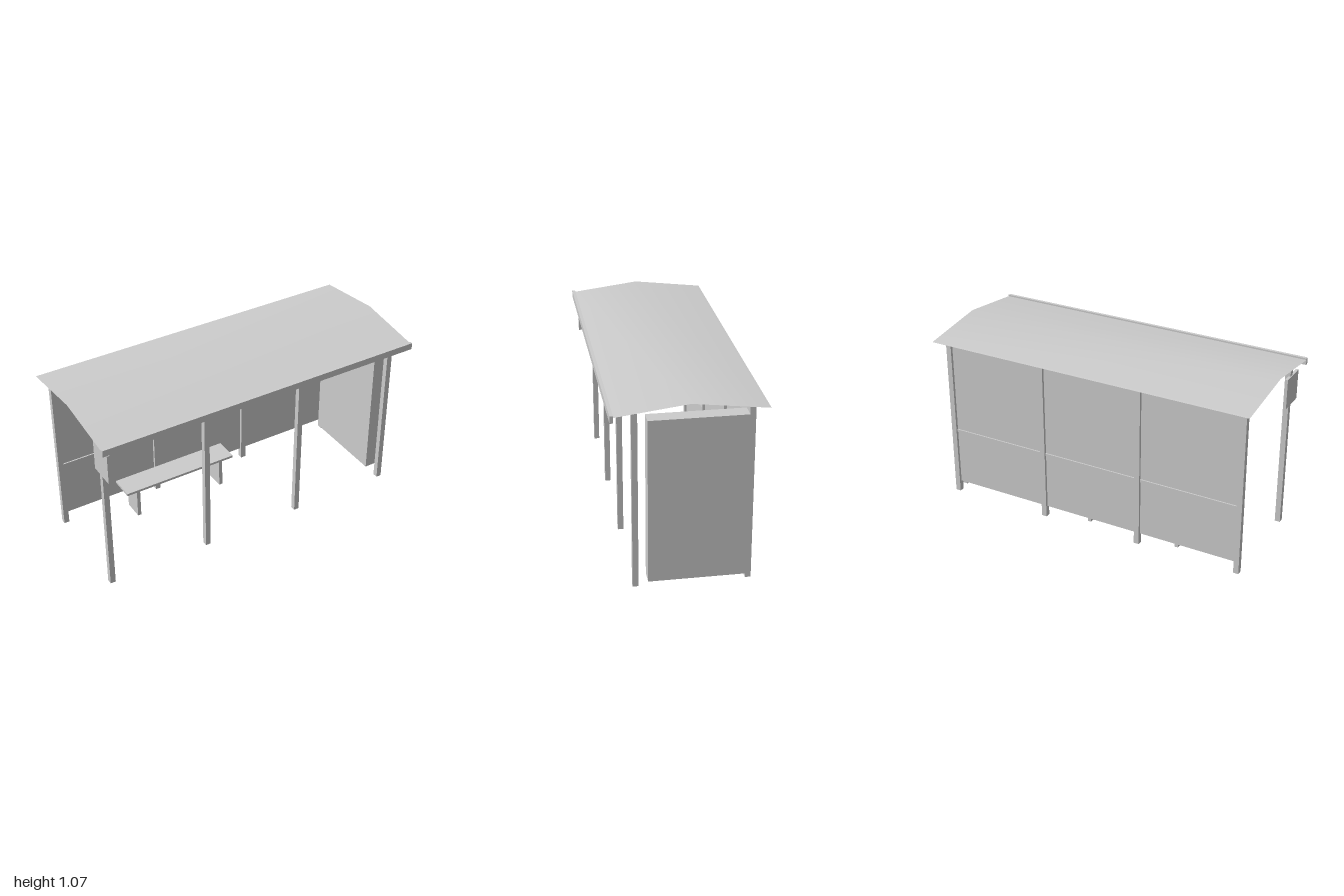
import * as THREE from 'three';

export function createModel() {
  const group = new THREE.Group();
  const grey = new THREE.MeshStandardMaterial({ color: 0xcccccc, side: THREE.DoubleSide });
  grey.name = 'light grey';

  const add = (name, geometry) => {
    const mesh = new THREE.Mesh(geometry, grey);
    mesh.name = name;
    group.add(mesh);
    return mesh;
  };

  // Box given by its limits; an open one has no underside
  const box = (name, [x0, x1], [y0, y1], [z0, z1], open = false) => {
    const geometry = new THREE.BoxGeometry(x1 - x0, y1 - y0, z1 - z0);
    if (open) {
      const index = Array.from(geometry.index.array);
      index.splice(18, 6);
      geometry.setIndex(index);
      geometry.clearGroups();
    }
    geometry.translate((x0 + x1) / 2, (y0 + y1) / 2, (z0 + z1) / 2);
    return add(name, geometry);
  };

  // Two rows of hollow posts
  for (const x of [-0.943, -0.315, 0.31, 0.937]) {
    box('frontPost', [x - 0.016, x + 0.016], [0, 1.02], [0.268, 0.3], true);
    box('backPost', [x - 0.016, x + 0.016], [0, 1.02], [-0.347, -0.315], true);
  }

  // Back wall sheet with its middle rail
  const wall = new THREE.PlaneGeometry(1.88, 0.92);
  wall.translate(-0.003, 0.525, -0.331);
  add('backWall', wall);
  box('wallRail', [-0.943, 0.937], [0.413, 0.429], [-0.339, -0.323]);

  // Thick end panel, open below
  box('endPanel', [0.892, 0.98], [0.04, 0.982], [-0.31, 0.22], true);

  // Sign plate on the outside of the front corner post
  box('signPlate', [-0.963, -0.946], [0.778, 0.96], [0.22, 0.382]);

  // Bench
  box('benchSeat', [-0.615, 0.12], [0.188, 0.203], [-0.285, -0.136]);
  for (const x of [-0.535, 0.04]) {
    box('benchLeg', [x - 0.011, x + 0.011], [0, 0.188], [-0.27, -0.148], true);
  }

  // Roof: a thin sheet with one soft ridge
  const profile = [[1.02, 0.4], [1.07, 0], [1.02, -0.414]];
  const positions = [];
  const index = [];
  profile.forEach(([y, z], i) => {
    positions.push(-1, y, z, 1, y, z);
    if (i > 0) {
      const a = 2 * i - 2;
      index.push(a, a + 1, a + 3, a, a + 3, a + 2);
    }
  });
  const roof = new THREE.BufferGeometry();
  roof.setAttribute('position', new THREE.Float32BufferAttribute(positions, 3));
  roof.setIndex(index);
  roof.computeVertexNormals();
  add('roof', roof);

  // Fascia along the front edge of the roof
  box('roofFascia', [-1, 1], [0.99, 1.03], [0.396, 0.414], true);

  return group;
}
